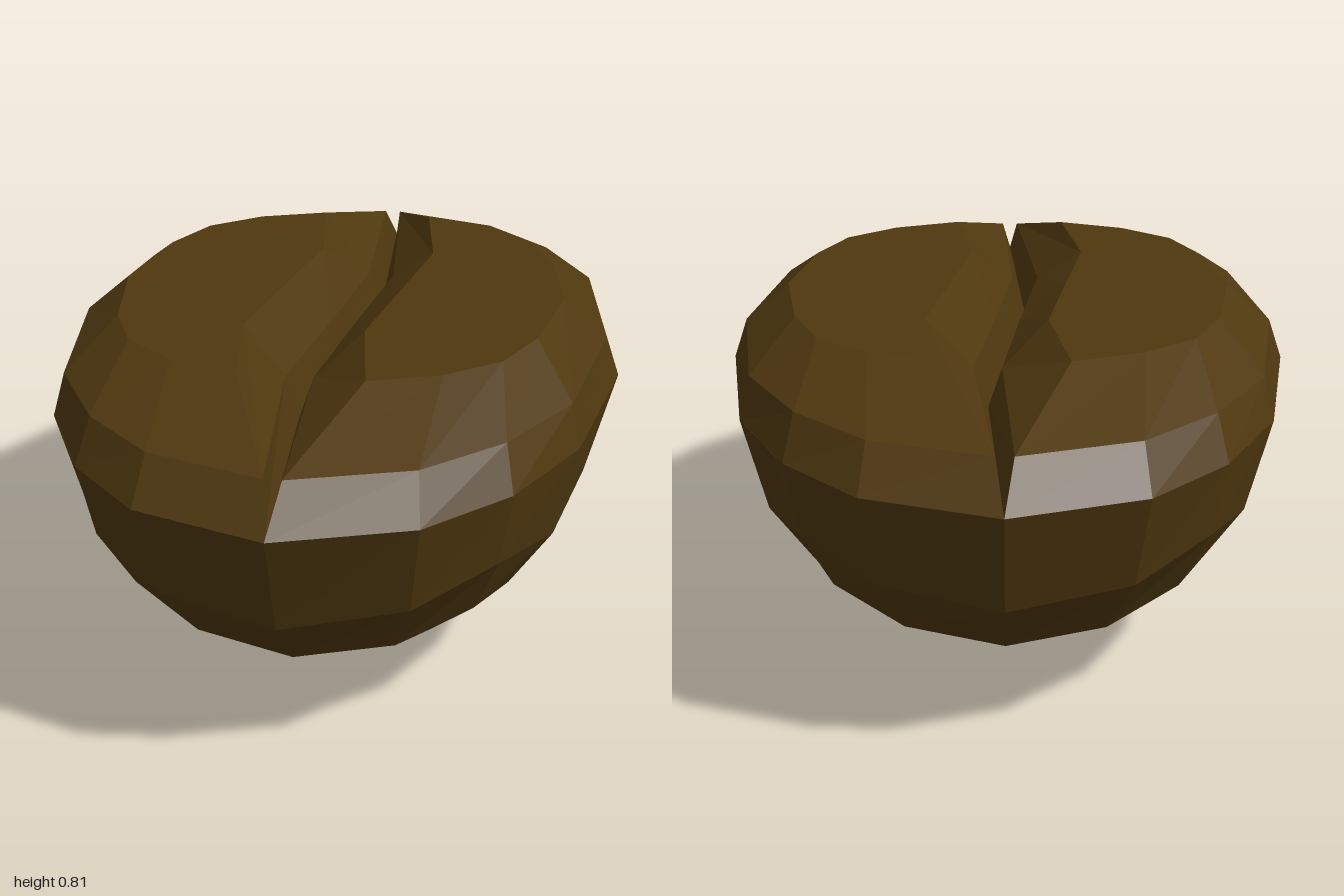
import * as THREE from 'three';

const bean = new THREE.MeshStandardMaterial({ color: 0x4f380f, flatShading: true, side: THREE.DoubleSide });
bean.name = 'roasted brown';

const RIM_Y = 0.625, STEP_Y = 0.72, TOP_Y = 0.81, R = 0.667;

function meshFrom(positions, name) {
  const g = new THREE.BufferGeometry();
  g.setAttribute('position', new THREE.Float32BufferAttribute(positions, 3));
  g.computeVertexNormals();
  const m = new THREE.Mesh(g, bean);
  m.name = name;
  return m;
}

// Quads between two equally long rows of [x, y, z] points
function strip(a, b, name) {
  const p = [];
  for (let i = 0; i < a.length - 1; i++) {
    p.push(...a[i], ...a[i + 1], ...b[i + 1], ...a[i], ...b[i + 1], ...b[i]);
  }
  return meshFrom(p, name);
}

const row = (y, xz) => xz.map(([x, z]) => [x, y, z]);
// Extend a front-to-middle row to the back by mirroring z
const mirrorZ = (xz) => [...xz, ...xz.slice(0, -1).reverse().map(([x, z]) => [x, -z])];

// Rounded belly: lower half of a subdivided cube pushed onto an ellipsoid
function createBelly() {
  const src = new THREE.BoxGeometry(2, 2, 2, 4, 4, 4).toNonIndexed().attributes.position;
  const out = [], v = new THREE.Vector3();
  for (let i = 0; i < src.count; i += 3) {
    if (Math.max(src.getY(i), src.getY(i + 1), src.getY(i + 2)) > 0.01) continue;
    for (let k = i; k < i + 3; k++) {
      v.fromBufferAttribute(src, k).normalize();
      out.push(v.x * R, Math.abs(v.y) < 0.01 ? RIM_Y : R + v.y * R, v.z);
    }
  }
  return meshFrom(out, 'belly');
}

// One lobe of the upper side, with its half of the S-shaped groove
function createLobe() {
  const lobe = new THREE.Group();
  const rim = row(RIM_Y, mirrorZ([[0, 1], [0.298, 0.894], [0.471, 0.707], [0.596, 0.447], [R, 0]]));
  const step = row(STEP_Y, mirrorZ([[0.02, 0.905], [0.285, 0.815], [0.45, 0.65], [0.575, 0.42], [0.635, 0]]));
  const crown = row(TOP_Y, mirrorZ([[0.14, 0.58], [0.3, 0.52], [0.42, 0.42], [0.485, 0.27], [0.53, 0]]));
  const lip = row(TOP_Y, [[0.14, 0.58], [0.095, 0.285], [0.14, 0], [0.185, -0.285], [0.14, -0.58]]);
  const slit = row(STEP_Y, [[0.02, 0.905], [-0.01, 0.36], [0.03, 0], [0.075, -0.36], [0.02, -0.905]]);
  const floor = row(RIM_Y, [[0, 1], [-0.042, 0.36], [0, 0], [0.042, -0.36], [0, -1]]);

  // Lip with midpoints, to match the crown point for point
  const fineLip = lip.flatMap((p, i) =>
    i < lip.length - 1 ? [p, p.map((c, k) => (c + lip[i + 1][k]) / 2)] : [p]);

  lobe.add(
    strip(rim, step, 'lowerBevel'),
    strip(step, crown, 'upperBevel'),
    strip(crown, fineLip, 'flatTop'),
    strip(lip, slit, 'grooveSlope'),
    strip(slit, floor, 'grooveSlit')
  );
  return lobe;
}

export function createModel() {
  const model = new THREE.Group();
  model.name = 'coffeeBean';
  model.add(createBelly());

  const leftLobe = createLobe();
  leftLobe.name = 'leftLobe';

  // The groove is point-symmetric, so the other lobe is a half turn
  const rightLobe = createLobe();
  rightLobe.name = 'rightLobe';
  rightLobe.rotation.y = Math.PI;

  model.add(leftLobe, rightLobe);
  return model;
}
